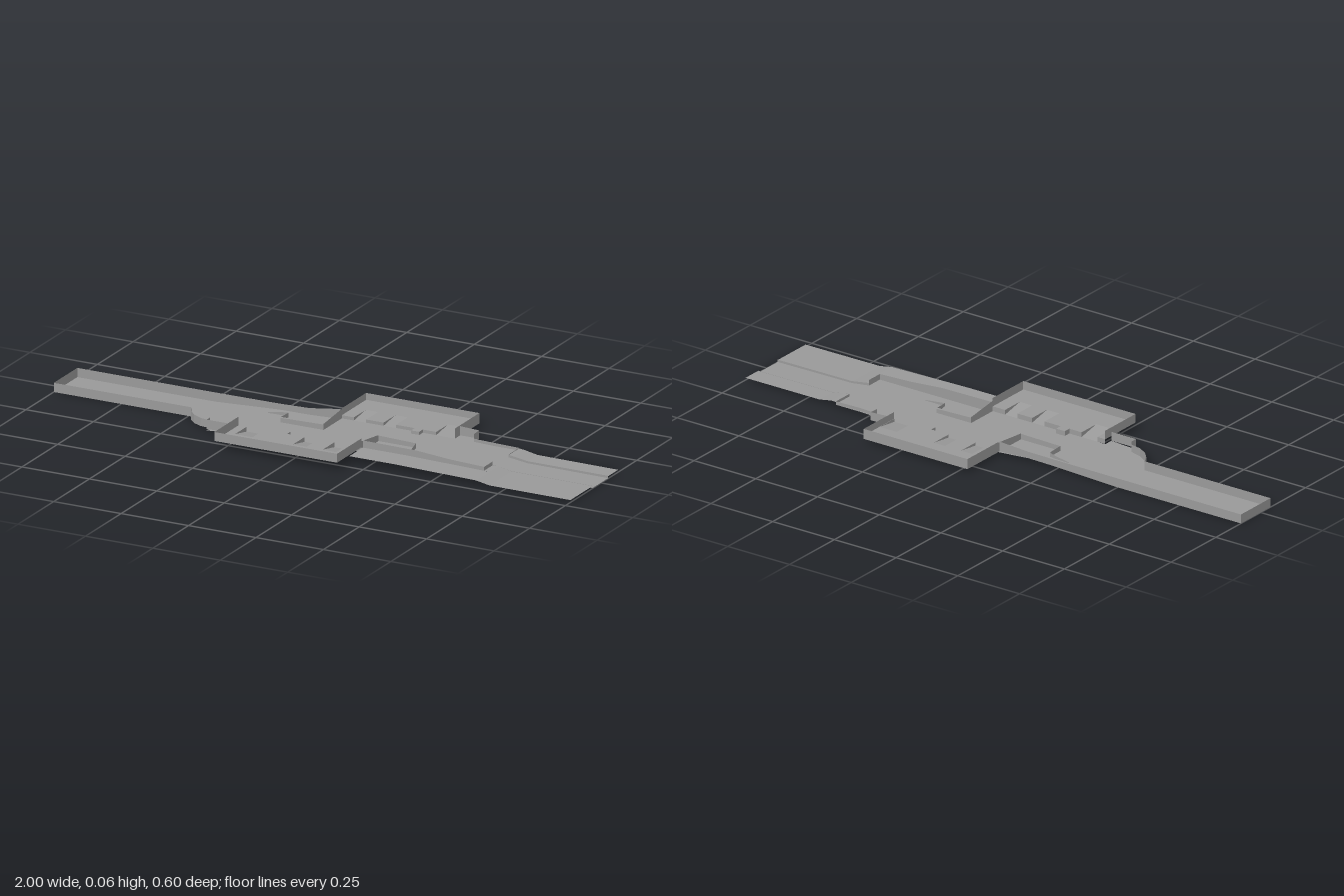
import * as THREE from 'three';

const stone = new THREE.MeshStandardMaterial({ color: 0x999999, side: THREE.DoubleSide, flatShading: true });
stone.name = 'plain grey';

// Quad strip between two matching rows of points
function strip(name, rowA, rowB) {
  const pos = [], idx = [];
  rowA.forEach((a, i) => {
    pos.push(...a, ...rowB[i]);
    if (i) { const k = 2 * i; idx.push(k - 2, k - 1, k, k, k - 1, k + 1); }
  });
  const g = new THREE.BufferGeometry();
  g.setAttribute('position', new THREE.Float32BufferAttribute(pos, 3));
  g.setIndex(idx);
  g.computeVertexNormals();
  const m = new THREE.Mesh(g, stone);
  m.name = name;
  return m;
}
// Floor from stations [x, back z, back y, front z, front y]
const floor = (name, s) => strip(name, s.map(p => [p[0], p[2], p[1]]), s.map(p => [p[0], p[4] ?? p[2], p[3]]));
// Upright wall along [x, z, bottom, top]
const wall = (name, s) => strip(name, s.map(p => [p[0], p[3], p[1]]), s.map(p => [p[0], p[2], p[1]]));

const MID = 0.013;

// Raised room with ramps cut into its inner edge
function room(name, x0, x1, inner, outer, y, bottom, top, ramps, post) {
  const g = new THREE.Group();
  g.name = name;
  const dir = Math.sign(outer), deep = inner + dir * 0.082;
  const piece = (n, a, b, zA, yA, zB, yB) => dir > 0
    ? floor(n, [[a, zA, yA, zB, yB], [b, zA, yA, zB, yB]])
    : floor(n, [[a, zB, yB, zA, yA], [b, zB, yB, zA, yA]]);
  g.add(piece('roomFloor', x0, x1, deep, y, outer, y));
  let x = x0;
  for (const [a, b] of [...ramps, [x1, x1]]) {
    if (a > x) {
      g.add(piece('landing', x, a, inner, y, deep, y));
      g.add(wall('riser', [[x, inner, MID, y], [a, inner, MID, y]]));
    }
    if (b > a) {
      g.add(piece('ramp', a, b, inner, MID, deep, y));
      for (const s of [a, b]) g.add(wall('rampSide', [[s, inner, MID, y], [s, deep, y - 0.0005, y]]));
    }
    x = b;
  }
  // small buttress on the riser
  const [p0, p1] = post, pz = inner - dir * 0.025;
  g.add(piece('buttressTop', p0, p1, pz, y, inner, y));
  g.add(wall('buttressSides', [[p0, inner, MID, y], [p0, pz, MID, y], [p1, pz, MID, y], [p1, inner, MID, y]]));
  // outer walls
  g.add(wall('roomWalls', [[x0, inner, bottom, top], [x0, outer, bottom, top], [x1, outer, bottom, top], [x1, inner, bottom, top]]));
  return g;
}

export function createModel() {
  const model = new THREE.Group();
  model.name = 'levelFloorplan';

  // Long corridor
  model.add(floor('corridorFloor', [[-1, -0.11, 0.001, 0.055], [-0.49, -0.11, 0.001, 0.055]]));
  model.add(wall('corridorWalls', [[-0.49, 0.055, 0.001, 0.033], [-1, 0.055, 0.001, 0.033],
    [-1, -0.11, 0.001, 0.033], [-0.49, -0.11, 0.001, 0.033], [-0.25, -0.11, 0.01, 0.034],
    [-0.14, -0.112, MID, 0.036], [-0.03, -0.122, MID, 0.048]]));

  // Court floor widening along a curve
  const bend = [[-0.49, 0.055], [-0.475, 0.085], [-0.45, 0.112], [-0.415, 0.132], [-0.375, 0.14]];
  const rise = x => Math.min(MID, 0.001 + (x + 0.49) * 0.05);
  model.add(floor('bendFloor', [...bend, [-0.375, 0.165], [-0.275, 0.165]].map(([x, z]) => [x, -0.11, rise(x), z])));
  model.add(wall('bendWall', bend.map(([x, z]) => [x, z, rise(x), 0.033])));
  model.add(wall('alcoveWall', [[-0.375, 0.14, 0.012, 0.044], [-0.375, 0.165, 0.012, 0.044], [-0.275, 0.165, 0.012, 0.044]]));
  model.add(floor('courtFloor', [[-0.275, -0.11, rise(-0.275), 0.13], [-0.25, -0.11, MID, 0.13], [-0.14, -0.112, MID, 0.13],
    [-0.03, -0.13, MID, 0.13], [0.18, -0.13, MID, 0.13], [0.18, -0.13, MID, 0.12], [0.39, -0.13, MID, 0.12],
    [0.39, -0.165, MID, 0.12], [0.46, -0.165, MID, 0.12], [0.46, -0.13, MID, 0.12], [0.63, -0.125, MID, 0.12]]));

  // Rooms at front and back
  model.add(room('frontRoom', -0.275, 0.18, 0.13, 0.3, 0.03, 0.029, 0.06,
    [[-0.245, -0.18], [-0.03, 0.02], [0.08, 0.13]], [-0.13, -0.095]));
  model.add(room('backRoom', -0.03, 0.39, -0.13, -0.3, 0.024, 0.012, 0.048,
    [[0.015, 0.06], [0.125, 0.17], [0.32, 0.389]], [0.24, 0.27]));
  model.add(wall('sideAlcoveWall', [[0.39, -0.165, MID, 0.045], [0.46, -0.165, MID, 0.042], [0.46, -0.13, MID, 0.04]]));
  model.add(wall('backKerb', [[0.46, -0.13, 0.01, 0.024], [0.53, -0.125, 0.01, 0.024], [0.63, -0.125, 0.01, 0.022]]));

  // Low inner walls
  model.add(wall('leftInnerWall', [[-0.27, -0.065, 0.011, 0.015], [-0.215, -0.065, MID, 0.024], [-0.19, -0.06, MID, 0.028],
    [-0.19, -0.002, MID, 0.031], [-0.03, -0.002, MID, 0.034], [-0.03, -0.13, MID, 0.046]]));
  model.add(wall('rightInnerWall', [[0.18, 0.13, MID, 0.05], [0.18, 0.01, MID, 0.034], [0.32, 0.01, MID, 0.03],
    [0.33, 0.07, MID, 0.024], [0.41, 0.07, MID, 0.015]]));
  // Thin wall caps
  model.add(floor('leftWallCap', [[-0.19, -0.004, 0.031, 0.004], [-0.03, -0.004, 0.034, 0.004]]));
  model.add(floor('rightWallCap', [[0.18, 0.006, 0.034, 0.014], [0.32, 0.006, 0.03, 0.014]]));

  // Outer wall of the descending side
  model.add(wall('descentWall', [[0.18, 0.12, MID, 0.05], [0.38, 0.12, MID, 0.048], [0.5, 0.12, MID, 0.038],
    [0.63, 0.12, MID, 0.033], [0.63, 0.06, MID, 0.033]]));

  // Open ground in front, sloping down to the far end
  model.add(floor('frontGround', [[0.18, 0.12, 0.025, 0.215], [0.34, 0.12, 0.025, 0.215], [0.5, 0.12, 0.022, 0.215],
    [0.65, 0.12, 0.019, 0.215], [0.7, 0.12, 0.01, 0.215], [1, 0.12, 0.009, 0.215]]));
  model.add(floor('nearGround', [[0.63, 0.06, 0.02, 0.12], [0.65, 0.06, 0.019, 0.12], [0.7, 0.06, 0.01, 0.12], [1, 0.06, 0.009, 0.12]]));
  model.add(floor('farGround', [[0.63, -0.125, 0.02, -0.05], [0.65, -0.123, 0.019, -0.05], [0.7, -0.122, 0.01, -0.05], [1, -0.12, 0.009, -0.05]]));

  // Sunken channel and its kerbs
  model.add(floor('channelFloor', [[0.63, -0.05, MID, 0.06], [0.7, -0.05, 0.004, 0.06], [1, -0.05, 0.002, 0.06]]));
  for (const z of [-0.05, 0.06]) {
    model.add(wall('channelKerb', [[0.63, z, MID, 0.022], [0.65, z, 0.01, 0.019], [0.7, z, 0.004, 0.011], [1, z, 0.002, 0.01]]));
  }
  model.add(wall('channelEndWall', [[0.63, -0.125, MID, 0.022], [0.63, -0.05, MID, 0.022]]));
  return model;
}
